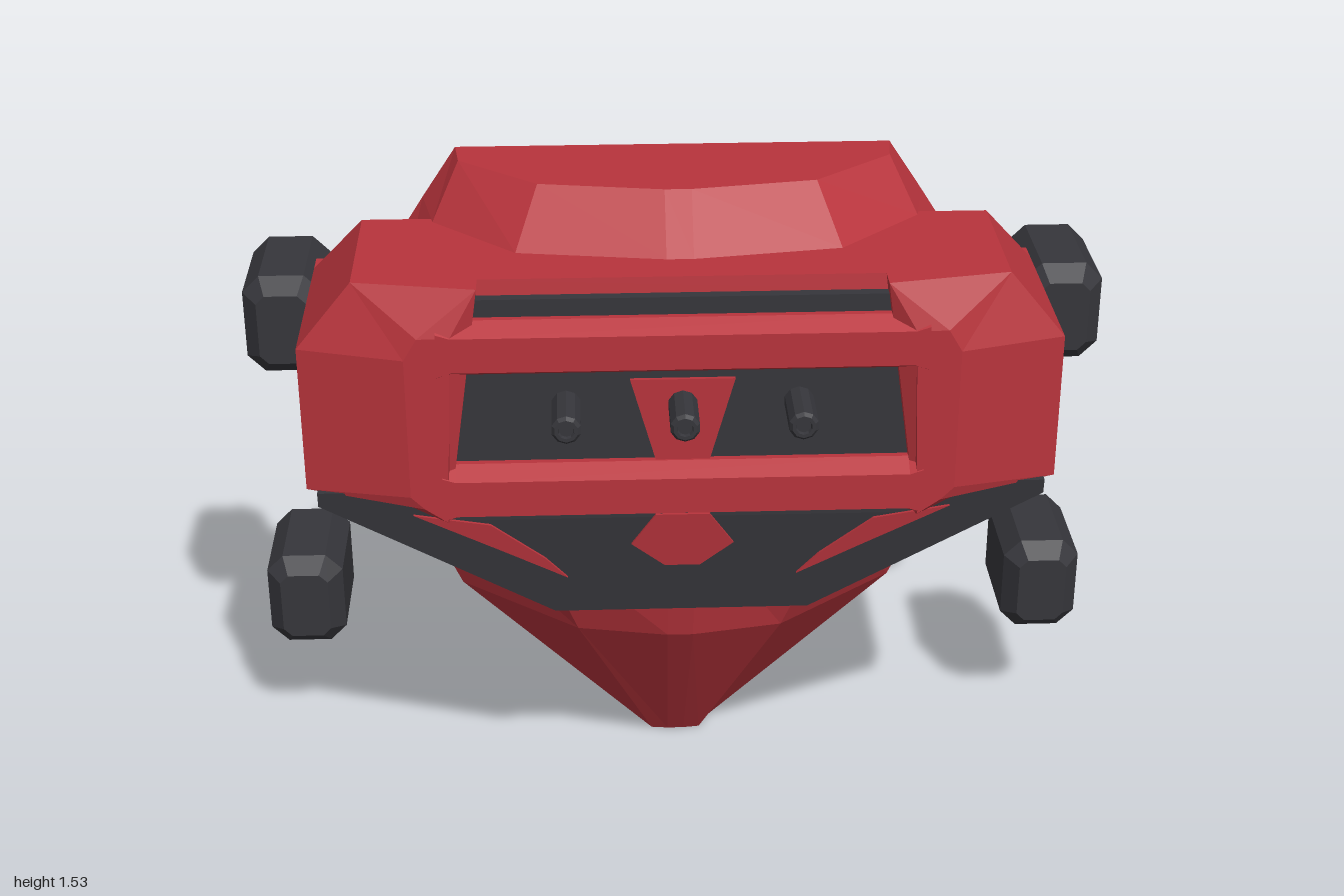
import * as THREE from 'three';

const red = new THREE.MeshStandardMaterial({ color: 0xb8343c, flatShading: true });
red.name = 'red armour';
const dark = new THREE.MeshStandardMaterial({ color: 0x36363b, flatShading: true });
dark.name = 'dark grey';

// Closed flat-shaded solid through rings of equal point count
function loft(rings) {
  const v = [];
  const n = rings[0].length;
  const tri = (a, b, c) => v.push([a, b, c]);
  for (let r = 0; r < rings.length - 1; r++) {
    const a = rings[r], b = rings[r + 1];
    for (let i = 0; i < n; i++) {
      const j = (i + 1) % n;
      tri(a[i], a[j], b[j]);
      tri(a[i], b[j], b[i]);
    }
  }
  const first = rings[0], last = rings[rings.length - 1];
  for (let i = 1; i < n - 1; i++) {
    tri(first[0], first[i + 1], first[i]);
    tri(last[0], last[i], last[i + 1]);
  }
  // Turn the faces outward when the signed volume is negative
  let volume = 0;
  for (const [a, b, c] of v) {
    volume += new THREE.Vector3(...a).dot(new THREE.Vector3(...b).cross(new THREE.Vector3(...c)));
  }
  const flat = v.flatMap(([a, b, c]) => (volume < 0 ? [a, c, b] : [a, b, c])).flat();
  const g = new THREE.BufferGeometry();
  g.setAttribute('position', new THREE.Float32BufferAttribute(flat, 3));
  g.computeVertexNormals();
  return g;
}

const flip = (ring) => ring.map(([x, y, z]) => [-x, y, z]);
const mirrorHalf = (half) => [...half, ...flip(half).reverse()];

export function createModel() {
  const model = new THREE.Group();
  const add = (name, geometry, material) => {
    const mesh = new THREE.Mesh(geometry, material);
    mesh.name = name;
    model.add(mesh);
    return mesh;
  };

  // Main hull: half plan sections from the pointed base to the raised top
  const sections = [
    [0, [[0.09, -0.26], [0.08, -0.2], [0.06, -0.155], [0.02, -0.15]]],
    [0.46, [[0.52, -0.26], [0.52, -0.12], [0.24, 0.11], [0.03, 0.15]]],
    [0.8, [[0.67, -0.26], [0.67, -0.1], [0.36, 0.21], [0.03, 0.23]]],
    [1.27, [[0.67, -0.26], [0.62, -0.08], [0.4, 0.19], [0.03, 0.22]]],
    [1.41, [[0.58, -0.26], [0.55, -0.1], [0.36, 0.09], [0.03, 0.14]]],
    [1.53, [[0.5, -0.26], [0.49, -0.17], [0.31, -0.015], [0.03, 0.03]]],
  ];
  add('hull', loft(sections.map(([y, half]) => mirrorHalf(half.map(([x, z]) => [x, y, z])))), red);

  // Dark skirt under the side pods, with a raised rear edge
  const skirtZ = (y) => 0.23 + (y - 0.58) * 0.13;
  const skirtHalf = [[0.29, 0.58], [0.81, 0.885], [0.81, 0.92]];
  add('skirt', loft([
    mirrorHalf([[0.67, 0.88, -0.255], [0.81, 0.89, -0.255], [0.81, 0.92, -0.255]]),
    mirrorHalf(skirtHalf.map(([x, y]) => [x, y, -0.17])),
    mirrorHalf(skirtHalf.map(([x, y]) => [x, y, skirtZ(y)])),
  ]), dark);

  // Deck between the pods and the recessed dark front panel
  const slab = (hw, profile) => loft([-hw, hw].map((x) => profile.map(([y, z]) => [x, y, z])));
  add('deck', slab(0.46, [[1.0, -0.255], [1.41, -0.255], [1.41, 0.235], [1.375, 0.24], [1.0, 0.24]]), red);
  add('frontPanel', slab(0.52, [[0.84, 0], [1.375, 0], [1.375, 0.265], [0.84, 0.265]]), dark);

  // Two horizontal bars with tapered ends
  for (const [name, y0, y1] of [['upperBar', 1.2, 1.345], ['lowerBar', 0.85, 1.0]]) {
    const profile = (x, s) => [
      [x, y0 + s, 0.22], [x, y0 + s, 0.285], [x, y0 + 0.02 + s, 0.322],
      [x, y1 - 0.025 - s, 0.322], [x, y1 - s, 0.28], [x, y1 - s, 0.22],
    ];
    add(name, loft([profile(-0.53, 0), profile(-0.5, 0.01), profile(0.5, 0.01), profile(0.53, 0)]), red);
  }

  // Side pods, feet and streaks on both sides
  const pod = [
    [[0.44, 1.26, -0.258], [0.71, 1.26, -0.258], [0.835, 1.26, -0.258],
      [0.835, 0.92, -0.258], [0.6, 0.92, -0.258], [0.5, 0.92, -0.258]],
    [[0.44, 1.41, -0.12], [0.71, 1.41, -0.12], [0.835, 1.26, -0.2],
      [0.835, 0.92, -0.2], [0.6, 0.92, -0.12], [0.5, 0.92, -0.12]],
    [[0.44, 1.41, 0.29], [0.71, 1.41, 0.24], [0.835, 1.26, 0.25],
      [0.835, 0.92, 0.25], [0.6, 0.89, 0.29], [0.52, 0.85, 0.29]],
    [[0.5, 1.31, 0.32], [0.57, 1.31, 0.32], [0.6, 1.26, 0.32],
      [0.6, 0.93, 0.32], [0.57, 0.9, 0.32], [0.52, 0.865, 0.32]],
  ];
  const footRing = (z, hw, hh, c) => [
    [hw - c, hh, z], [hw, hh - c, z], [hw, c - hh, z], [hw - c, -hh, z],
    [c - hw, -hh, z], [-hw, c - hh, z], [-hw, hh - c, z], [c - hw, hh, z],
  ];
  const foot = loft([
    footRing(-0.4, 0.092, 0.12, 0.04),
    footRing(-0.16, 0.092, 0.12, 0.04),
    footRing(-0.12, 0.058, 0.085, 0.02),
  ]);
  // Thin plate lying on the sloped skirt front
  const plate = (points) => loft([0.002, 0.009].map((d) => points.map(([x, y]) => [x, y, skirtZ(y) + d])));
  const streak = [[0.43, 0.83], [0.6, 0.86], [0.4, 0.755], [0.26, 0.68], [0.31, 0.735]];

  for (const s of [1, -1]) {
    const side = s > 0 ? 'left' : 'right';
    add(side + 'Pod', loft(s > 0 ? pod : pod.map(flip)), red);
    add(side + 'Streak', plate(streak.map(([x, y]) => [s * x, y])), red);
    for (const [level, y] of [['Upper', 1.14], ['Lower', 0.4]]) {
      add(side + level + 'Foot', foot, dark).position.set(s * 0.908, y, 0);
    }
  }

  // Red badge plates on the panel and the skirt
  const wedge = [[-0.115, 1.185], [0.115, 1.185], [0.06, 0.99], [-0.06, 0.99]];
  add('centreWedge', loft([0.266, 0.275].map((z) => wedge.map(([x, y]) => [x, y, z]))), red);
  add('skirtBadge', plate([[-0.06, 0.85], [0.06, 0.85], [0.115, 0.77], [0.04, 0.71], [-0.04, 0.71], [-0.115, 0.77]]), red);

  // Three pegs, each with a narrow rim at the tip
  const pegProfile = [[0, 0], [0.033, 0], [0.033, 0.132], [0.026, 0.14], [0.018, 0.14], [0.016, 0.132], [0, 0.132]]
    .map(([r, y]) => new THREE.Vector2(r, y));
  const peg = new THREE.LatheGeometry(pegProfile, 10);
  peg.rotateX(Math.PI / 2);
  for (const x of [-0.255, 0, 0.255]) add('peg', peg, dark).position.set(x, 1.125, 0.26);

  return model;
}
